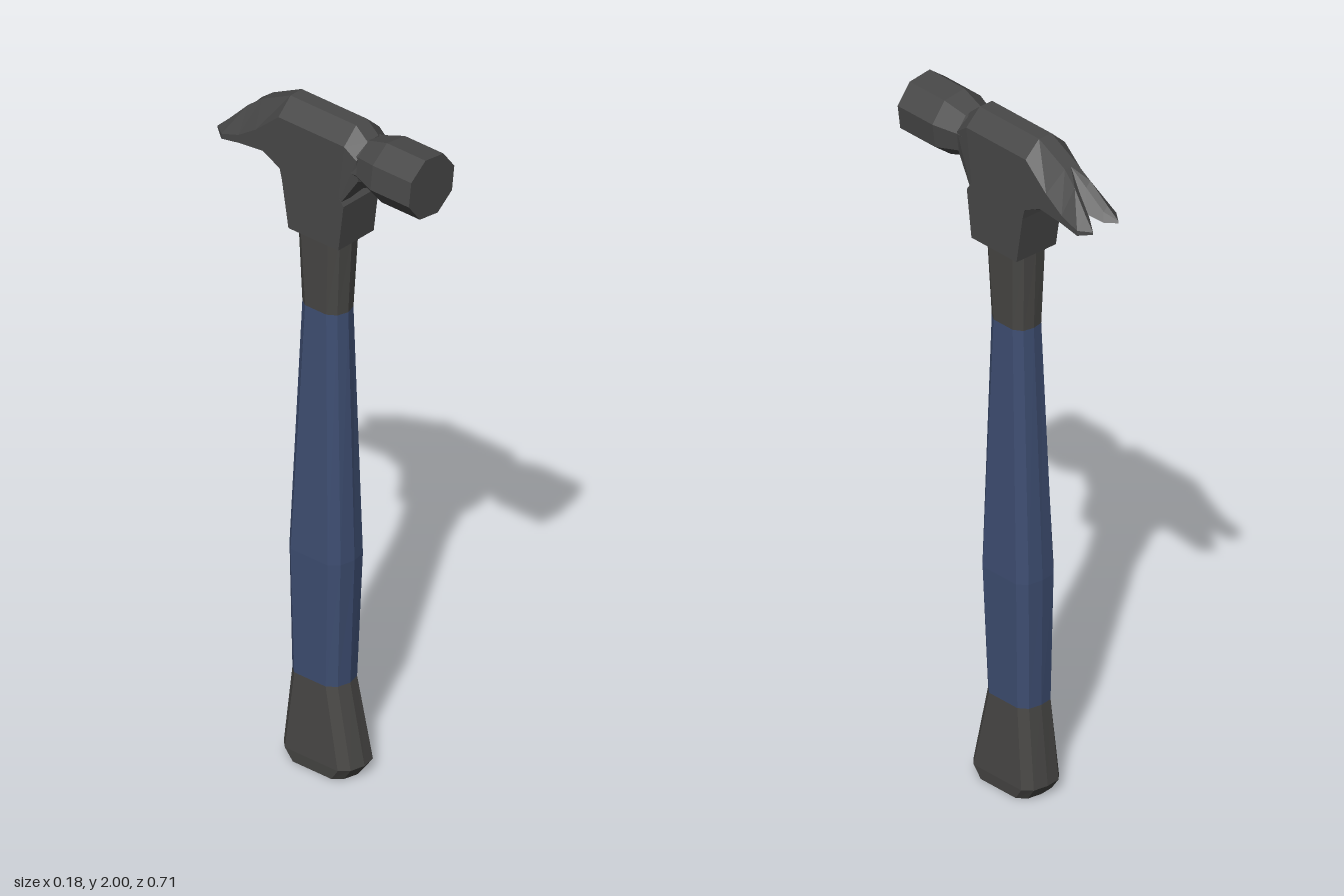
import * as THREE from 'three';

// Faceted skin through rings of [x, y, z] points, capped at both ends.
// The strip between the last and first point of each ring goes in group 1.
function loft(rings) {
  const main = [], inner = [];
  const n = rings[0].length;
  const tri = (list, a, b, c) => {
    const [A, B, C] = [a, b, c].map(p => new THREE.Vector3(...p));
    if (B.sub(A).cross(C.sub(A)).length() > 1e-8) list.push([a, b, c]);
  };
  for (let i = 0; i < rings.length - 1; i++) {
    for (let j = 0; j < n; j++) {
      const k = (j + 1) % n, list = k === 0 ? inner : main;
      tri(list, rings[i][j], rings[i][k], rings[i + 1][k]);
      tri(list, rings[i][j], rings[i + 1][k], rings[i + 1][j]);
    }
  }
  const first = rings[0], last = rings[rings.length - 1];
  for (let j = 1; j < n - 1; j++) {
    tri(main, first[0], first[j + 1], first[j]);
    tri(main, last[0], last[j], last[j + 1]);
  }
  // Turn every face outward, using the signed volume
  const tris = [...main, ...inner];
  let volume = 0;
  for (const [a, b, c] of tris) {
    volume += new THREE.Vector3(...a).dot(new THREE.Vector3(...b).cross(new THREE.Vector3(...c)));
  }
  const faces = volume < 0 ? tris.map(([a, b, c]) => [a, c, b]) : tris;
  const geo = new THREE.BufferGeometry();
  geo.setAttribute('position', new THREE.Float32BufferAttribute(faces.flat(2), 3));
  geo.addGroup(0, main.length * 3, 0);
  geo.addGroup(main.length * 3, inner.length * 3, 1);
  geo.computeVertexNormals();
  return geo;
}

// Ten-sided handle ring: half width w, front zf, back zb
function handleRing([y, w, zf, zb]) {
  const half = [[0, zf], [0.66 * w, zf - 0.01], [w, zf - 0.035], [w, zb + 0.03], [0.66 * w, zb + 0.006], [0, zb]];
  const other = half.slice(1, 5).reverse().map(([x, z]) => [-x, z]);
  return [...half, ...other].map(([x, z]) => [x, y, z]);
}

// Eight-sided ring for the striking end
function pollRing([z, r]) {
  return Array.from({ length: 8 }, (_, i) => {
    const a = Math.PI / 12 + i * Math.PI / 4;
    return [r * Math.cos(a), 1.9 + r * Math.sin(a), z];
  });
}

export function createModel() {
  const group = new THREE.Group();
  const material = (name, color) => {
    const m = new THREE.MeshStandardMaterial({ color });
    m.name = name;
    return m;
  };
  const steel = material('darkSteel', 0x484848);
  const bright = material('brightSteel', 0x8c8c8c);
  const rubber = material('darkHandle', 0x484745);
  const blue = material('blueGrip', 0x3e4e72);

  const add = (name, rings, mat, innerMat = mat) => {
    const mesh = new THREE.Mesh(loft(rings), [mat, innerMat]);
    mesh.name = name;
    group.add(mesh);
  };

  // Handle: flared butt, blue grip and slim shaft
  const parts = {
    handleButt: [rubber, [[0, 0.064, 0.095, -0.105], [0.035, 0.067, 0.12, -0.13], [0.27, 0.058, 0.07, -0.105]]],
    grip: [blue, [[0.27, 0.058, 0.07, -0.105], [0.65, 0.067, 0.085, -0.11], [1.4, 0.048, 0.063, -0.076]]],
    shaft: [rubber, [[1.4, 0.048, 0.063, -0.076], [1.64, 0.056, 0.076, -0.085]]],
  };
  for (const [name, [mat, rings]] of Object.entries(parts)) add(name, rings.map(handleRing), mat);

  // Striking end with its tapered neck
  add('poll', [[0.355, 0.093], [0.22, 0.093], [0.15, 0.07], [0.12, 0.07]].map(pollRing), steel);

  // Socket that holds the handle
  const socketRing = (y, zf, zb) => [[-0.07, y, zf], [0.07, y, zf], [0.07, y, zb], [-0.07, y, zb]];
  add('socket', [socketRing(1.63, 0.09, -0.085), socketRing(1.77, 0.108, -0.108), socketRing(1.81, 0.08, -0.118)], steel);

  // Head halves, each ending in one prong of the claw
  // Ring order: inner top, ridge, shoulder, outer bottom, inner bottom
  const halfHead = [
    [[0, 1.965, 0.15], [0.022, 1.965, 0.15], [0.066, 1.925, 0.15], [0.06, 1.86, 0.15], [0, 1.83, 0.15]],
    [[0, 2, 0.11], [0.022, 2, 0.11], [0.07, 1.955, 0.11], [0.07, 1.76, 0.085], [0, 1.8, 0.115]],
    [[0, 2, -0.12], [0.022, 2, -0.12], [0.07, 1.955, -0.12], [0.07, 1.8, -0.115], [0, 1.8, -0.115]],
    [[0, 1.95, -0.22], [0.022, 1.95, -0.22], [0.07, 1.885, -0.2], [0.07, 1.83, -0.175], [0, 1.826, -0.22]],
    [[0.013, 1.9, -0.265], [0.028, 1.915, -0.265], [0.07, 1.845, -0.26], [0.07, 1.821, -0.26], [0.013, 1.82, -0.265]],
    [[0.025, 1.845, -0.32], [0.039, 1.858, -0.32], [0.07, 1.825, -0.32], [0.07, 1.81, -0.32], [0.025, 1.812, -0.32]],
    [[0.045, 1.825, -0.355], [0.045, 1.825, -0.355], [0.045, 1.825, -0.355], [0.045, 1.818, -0.355], [0.045, 1.818, -0.355]],
  ];
  for (const [name, s] of [['leftHeadAndClaw', 1], ['rightHeadAndClaw', -1]]) {
    add(name, halfHead.map(ring => ring.map(([x, y, z]) => [s * x, y, z])), steel, bright);
  }

  return group;
}
